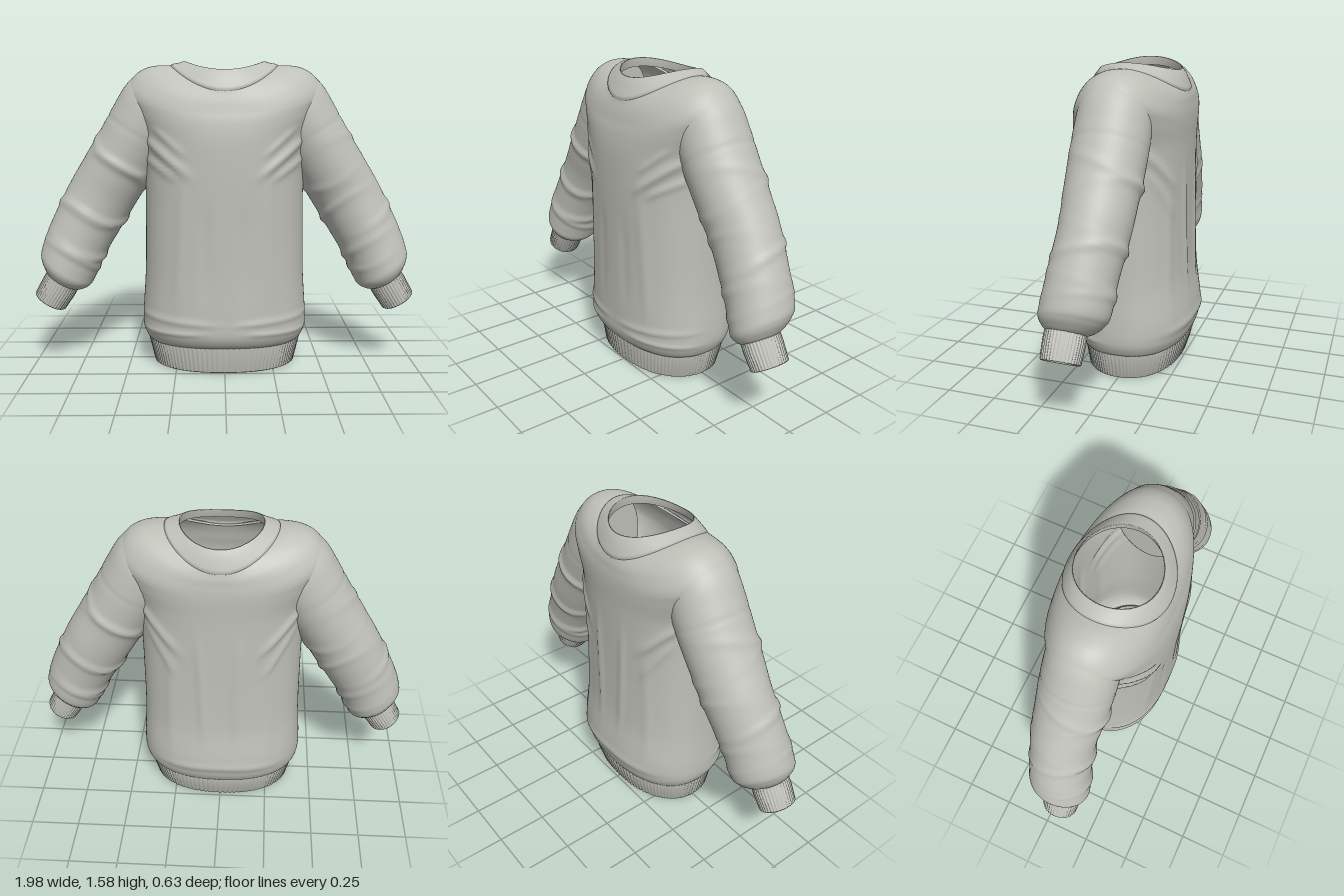
import * as THREE from 'three';

const knit = new THREE.MeshStandardMaterial({ color: 0xbfc0b8, side: THREE.DoubleSide });
knit.name = 'grey knit';

// Closed loft: point(u, angle) for u in 0..1, smooth normals across the seam
function loft(name, rows, segs, point) {
  const pos = [], idx = [];
  for (let i = 0; i <= rows; i++)
    for (let j = 0; j < segs; j++) pos.push(...point(i / rows, (j / segs) * Math.PI * 2));
  for (let i = 0; i < rows; i++)
    for (let j = 0; j < segs; j++) {
      const k = (j + 1) % segs;
      const a = i * segs + j, b = a + segs, c = i * segs + k, d = c + segs;
      idx.push(a, b, c, c, b, d);
    }
  const g = new THREE.BufferGeometry();
  g.setAttribute('position', new THREE.Float32BufferAttribute(pos, 3));
  g.setIndex(idx);
  g.computeVertexNormals();
  const mesh = new THREE.Mesh(g, knit);
  mesh.name = name;
  return mesh;
}

// Smooth interpolation between table rows
function sample(table, u) {
  const n = table.length - 1, f = u * n, i = Math.min(Math.floor(f), n - 1), t = f - i;
  const p = k => table[Math.max(0, Math.min(n, k))];
  return table[0].map((_, c) => {
    const a = p(i - 1)[c], b = p(i)[c], d = p(i + 1)[c], e = p(i + 2)[c];
    return b + 0.5 * t * (d - a + t * (2 * a - 5 * b + 4 * d - e + t * (3 * (b - d) + e - a)));
  });
}

// Cross-section point: [side y, front/back y, half width, front depth, back depth]
function ringPoint([ys, yf, w, df, db], a, n = 2, push = 0) {
  const c = Math.cos(a), s = Math.sin(a), e = 2 / n;
  return [
    Math.sign(c) * Math.abs(c) ** e * w + c * push,
    ys * c * c + yf * s * s,
    Math.sign(s) * Math.abs(s) ** e * (s > 0 ? df : db) + s * push,
  ];
}

// Soft fold along a segment: [x1, y1, x2, y2, width, height], fading at its ends
function fold(x, y, [x1, y1, x2, y2, w, h]) {
  const dx = x2 - x1, dy = y2 - y1, L2 = dx * dx + dy * dy;
  const t = ((x - x1) * dx + (y - y1) * dy) / L2;
  const d = ((x - x1) * dy - (y - y1) * dx) / Math.sqrt(L2);
  const over = (t - 0.5) * 2;
  return h * Math.exp(-((d / w) ** 2) - over ** 4);
}

const body = [
  [0.135, 0.135, 0.394, 0.264, 0.264], [0.16, 0.16, 0.412, 0.29, 0.282], [0.21, 0.21, 0.428, 0.309, 0.3],
  [0.3, 0.3, 0.428, 0.309, 0.308], [0.5, 0.5, 0.415, 0.305, 0.28], [0.75, 0.75, 0.41, 0.305, 0.27],
  [1.0, 1.0, 0.41, 0.308, 0.268], [1.2, 1.17, 0.425, 0.306, 0.268], [1.34, 1.27, 0.475, 0.295, 0.27],
  [1.43, 1.33, 0.5, 0.28, 0.268], [1.5, 1.37, 0.46, 0.27, 0.263], [1.54, 1.395, 0.4, 0.262, 0.26],
  [1.554, 1.415, 0.33, 0.255, 0.255], [1.553, 1.435, 0.268, 0.249, 0.249],
];
// Folds for the right half, mirrored by using |x|
const frontFolds = [
  [0.4, 1.2, 0.18, 1.02, 0.02, 0.014], [0.4, 1.1, 0.24, 1.0, 0.015, 0.009], [0.34, 1.24, 0.2, 1.12, 0.016, 0.007],
  [0.05, 0.27, 0.44, 0.29, 0.016, 0.007], [0.12, 0.22, 0.44, 0.21, 0.014, 0.006],
  [0.24, 0.35, 0.2, 1.0, 0.03, 0.006], [0.1, 0.4, 0.09, 0.85, 0.03, -0.005],
];
const backFolds = [
  [0.4, 1.2, 0.2, 0.98, 0.02, 0.013], [0.36, 1.08, 0.22, 0.85, 0.018, 0.008], [0.08, 0.45, 0.1, 1.05, 0.022, 0.009],
  [0.26, 0.35, 0.24, 0.95, 0.03, 0.006], [-0.15, 0.27, 0.3, 0.25, 0.025, 0.007],
];

// Sleeve rings: [along, centre offset, half width, half depth, z centre]
const sleeveRings = [
  [-1.13, 1.07, 0.045, 0.07, 0], [-1.086, 1.05, 0.105, 0.125, 0], [-0.984, 1.03, 0.158, 0.17, 0],
  [-0.865, 1.015, 0.175, 0.182, 0], [-0.7, 1.01, 0.175, 0.18, 0], [-0.55, 1.01, 0.174, 0.173, 0],
  [-0.41, 1.01, 0.173, 0.165, 0], [-0.19, 1.0, 0.164, 0.16, 0.02], [-0.04, 0.978, 0.158, 0.162, 0.035],
  [0.01, 0.966, 0.145, 0.148, 0.05], [0.045, 0.957, 0.112, 0.117, 0.06], [0.06, 0.956, 0.086, 0.09, 0.065],
];
// Bunching round the sleeve: [along, tilt, width, height, angle of the peak]
const bunches = [
  [-0.8, 0, 0.008, -0.004, 0], [-0.68, 0.06, 0.024, 0.008, 1.2], [-0.58, -0.05, 0.022, 0.008, 2.6],
  [-0.38, 0.06, 0.02, 0.011, 2.8], [-0.29, -0.04, 0.018, 0.009, 0.4], [-0.16, 0.03, 0.02, 0.01, 3.0],
  [-0.09, -0.02, 0.016, 0.008, 2.4],
];

// Point on the slanted sleeve axis frame
function sleevePoint(s, t, c, z) {
  return [s * (0.853 * c + 0.522 * t), 0.522 * c - 0.853 * t, z];
}

function sleeve(s) {
  const g = new THREE.Group();
  g.name = s > 0 ? 'leftSleeve' : 'rightSleeve';
  g.add(loft('sleeve', 130, 72, (u, a) => {
    const [t, c, rn, rz, zc] = sample(sleeveRings, u);
    let push = 0;
    for (const [bt, tilt, w, h, peak] of bunches) {
      const around = 0.55 + 0.45 * Math.cos(a - peak);
      push += h * around * Math.exp(-(((t - bt - tilt * Math.sin(a)) / w) ** 2));
    }
    const p = sleevePoint(s, t, c + Math.cos(a) * (rn + push), zc - s * Math.sin(a) * (rz + push));
    // stop the hidden end just inside the shoulder
    p[0] = s * Math.max(s * p[0], 0.33);
    return p;
  }));
  // Ribbed cuff with a turned-in lining
  const cuffRows = [[0.045, 0.09, 1], [0.1, 0.091, 1], [0.186, 0.086, 1], [0.191, 0.082, 0.5], [0.188, 0.076, 0], [0.06, 0.078, 0]];
  g.add(loft('cuff', cuffRows.length - 1, 144, (u, a) => {
    const [t, r, rib] = cuffRows[Math.round(u * (cuffRows.length - 1))];
    const q = r + rib * 0.0025 * Math.cos(36 * a);
    return sleevePoint(s, t, 0.956 + Math.cos(a) * q, 0.067 - s * Math.sin(a) * (q + 0.005));
  }));
  return g;
}

export function createModel() {
  const model = new THREE.Group();
  model.name = 'sweater';

  model.add(loft('body', 150, 180, (u, a) => {
    const row = sample(body, u), n = 2 + 0.3 * Math.min(1, (1 - u) * 3);
    const [x, y, z] = ringPoint(row, a, n);
    let push = 0;
    for (const f of z > 0 ? frontFolds : backFolds) push += fold(Math.abs(x), y, f);
    return ringPoint(row, a, n, push * Math.min(1, Math.abs(Math.sin(a)) * 3));
  }));

  // Ribbed hem, lining first, then round the rim and up the outside
  const hemRows = [
    [0.14, 0.14, 0.375, 0.25, 0.25], [0.006, 0.006, 0.352, 0.234, 0.22], [0, 0, 0.36, 0.242, 0.228],
    [0.006, 0.006, 0.37, 0.25, 0.236], [0.075, 0.075, 0.386, 0.258, 0.258],
    [0.14, 0.14, 0.402, 0.268, 0.274], [0.148, 0.148, 0.392, 0.262, 0.264],
  ];
  model.add(loft('hem', 6, 400, (u, a) => {
    const i = Math.round(u * 6);
    return ringPoint(hemRows[i], a, 2.2, i > 2 && i < 6 ? 0.0025 * Math.cos(100 * a) : 0);
  }));

  // Neckband, dipping at the front and back
  const neckRows = [
    [1.543, 1.42, 0.27, 0.246, 0.246], [1.557, 1.433, 0.273, 0.255, 0.255], [1.562, 1.448, 0.262, 0.249, 0.251],
    [1.567, 1.495, 0.232, 0.225, 0.234], [1.576, 1.533, 0.205, 0.2, 0.212],
    [1.574, 1.533, 0.198, 0.193, 0.206], [1.53, 1.49, 0.206, 0.206, 0.216],
  ];
  model.add(loft('neckband', 6, 120, (u, a) => ringPoint(neckRows[Math.round(u * 6)], a)));

  model.add(sleeve(1), sleeve(-1));
  return model;
}
